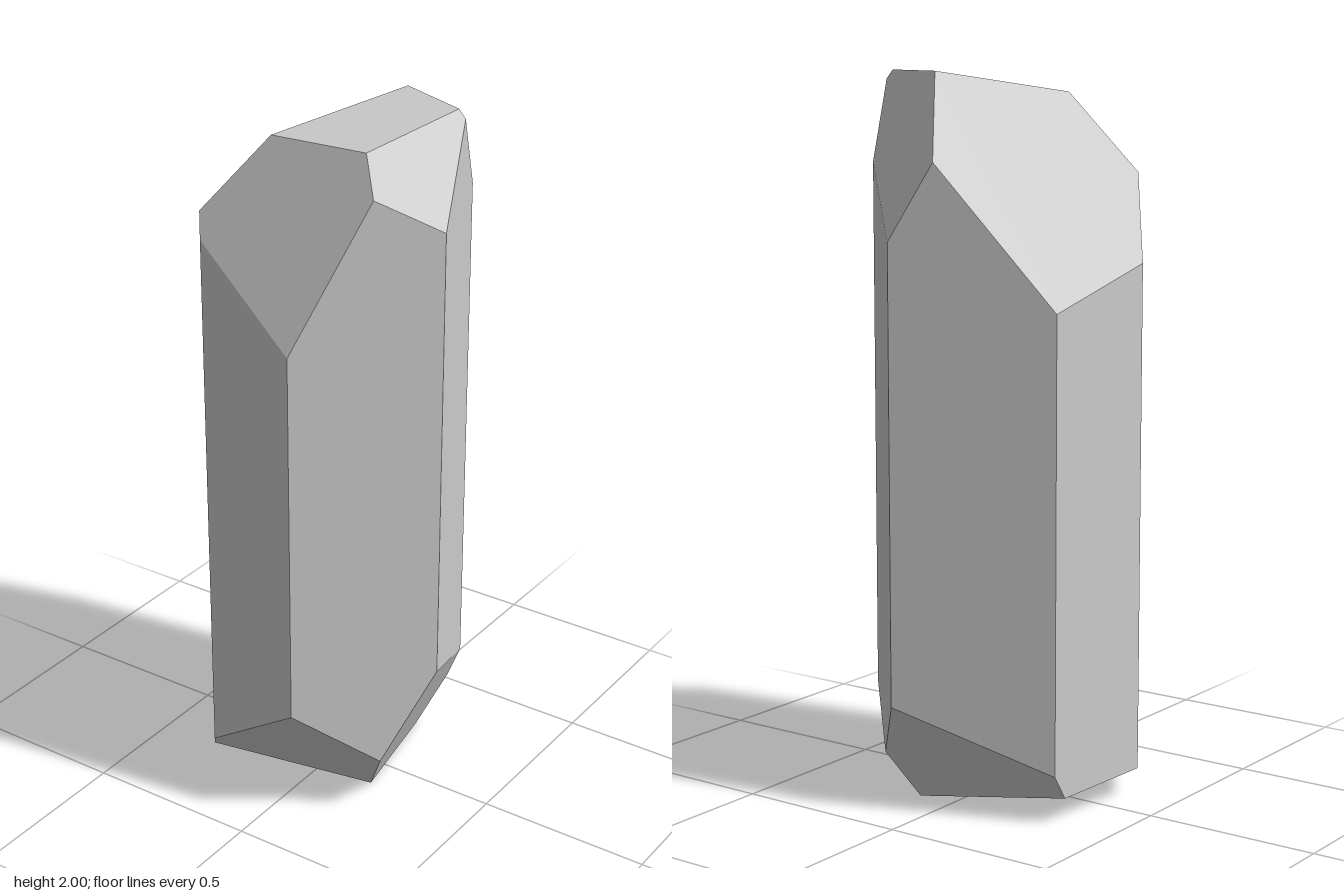
import * as THREE from 'three';
import { ConvexGeometry } from 'three/addons/geometries/ConvexGeometry.js';

const V = (x, y, z) => new THREE.Vector3(x, y, z);

// Seven-sided footprint of the crystal column, as [x, z]
const footprint = [
  [0.105, 0.4], [0.38, 0.09], [0.255, -0.24], [0.08, -0.4],
  [-0.335, -0.22], [-0.38, 0.12], [-0.25, 0.29],
];

// Facets that cut the ends, each given by three points on it
const cuts = [
  // upper end: cap, left slope, back, front, right
  [V(0.07, 2, -0.205), V(0.28, 2, -0.12), V(-0.1, 1.94, 0.175)],
  [V(0.07, 2, -0.205), V(-0.1, 1.94, 0.175), V(-0.38, 1.49, 0.12)],
  [V(0.07, 2, -0.205), V(0.28, 2, -0.12), V(0.08, 1.56, -0.4)],
  [V(-0.1, 1.94, 0.175), V(0.2, 1.956, 0.185), V(0.105, 1.45, 0.4)],
  [V(0.38, 1.75, 0.09), V(0.2, 1.956, 0.185), V(0.288, 1.99, -0.12)],
  // lower end: base, right, back, front
  [V(0.17, 0, 0.1), V(0.11, 0, -0.235), V(-0.38, 0.08, 0.12)],
  [V(0.38, 0.45, 0.09), V(0.17, 0, 0.1), V(0.255, 0.31, -0.24)],
  [V(0.08, 0.3, -0.4), V(-0.335, 0.135, -0.22), V(0.11, 0, -0.235)],
  [V(0.105, 0.365, 0.4), V(0.17, 0, 0.1), V(-0.25, 0.1, 0.29)],
];

// Plane through three points, facing away from the middle of the crystal
function outwardPlane([a, b, c]) {
  const plane = new THREE.Plane().setFromCoplanarPoints(a, b, c);
  return plane.distanceToPoint(V(0, 1, 0)) > 0 ? plane.negate() : plane;
}

// Point where three planes meet, or null when they do not
function meet(p, q, r) {
  const qr = q.normal.clone().cross(r.normal);
  const det = p.normal.dot(qr);
  if (Math.abs(det) < 1e-6) return null;
  return qr.multiplyScalar(-p.constant)
    .addScaledVector(r.normal.clone().cross(p.normal), -q.constant)
    .addScaledVector(p.normal.clone().cross(q.normal), -r.constant)
    .divideScalar(det);
}

// Corners of the solid enclosed by all planes
function corners(planes) {
  const points = [];
  const n = planes.length;
  for (let i = 0; i < n; i++)
    for (let j = i + 1; j < n; j++)
      for (let k = j + 1; k < n; k++) {
        const p = meet(planes[i], planes[j], planes[k]);
        if (!p || planes.some((pl) => pl.distanceToPoint(p) > 1e-6)) continue;
        if (!points.some((o) => o.distanceTo(p) < 1e-4)) points.push(p);
      }
  return points;
}

export function createModel() {
  const sides = footprint.map(([x, z], i) => {
    const [x2, z2] = footprint[(i + 1) % footprint.length];
    return [V(x, 0, z), V(x2, 0, z2), V(x, 1, z)];
  });
  const planes = [...sides, ...cuts].map(outwardPlane);
  const crystal = new THREE.Mesh(
    new ConvexGeometry(corners(planes)),
    new THREE.MeshStandardMaterial({ color: 0xcccccc, flatShading: true }),
  );
  crystal.name = 'crystal';
  const group = new THREE.Group();
  group.name = 'crystalShard';
  group.add(crystal);
  return group;
}
